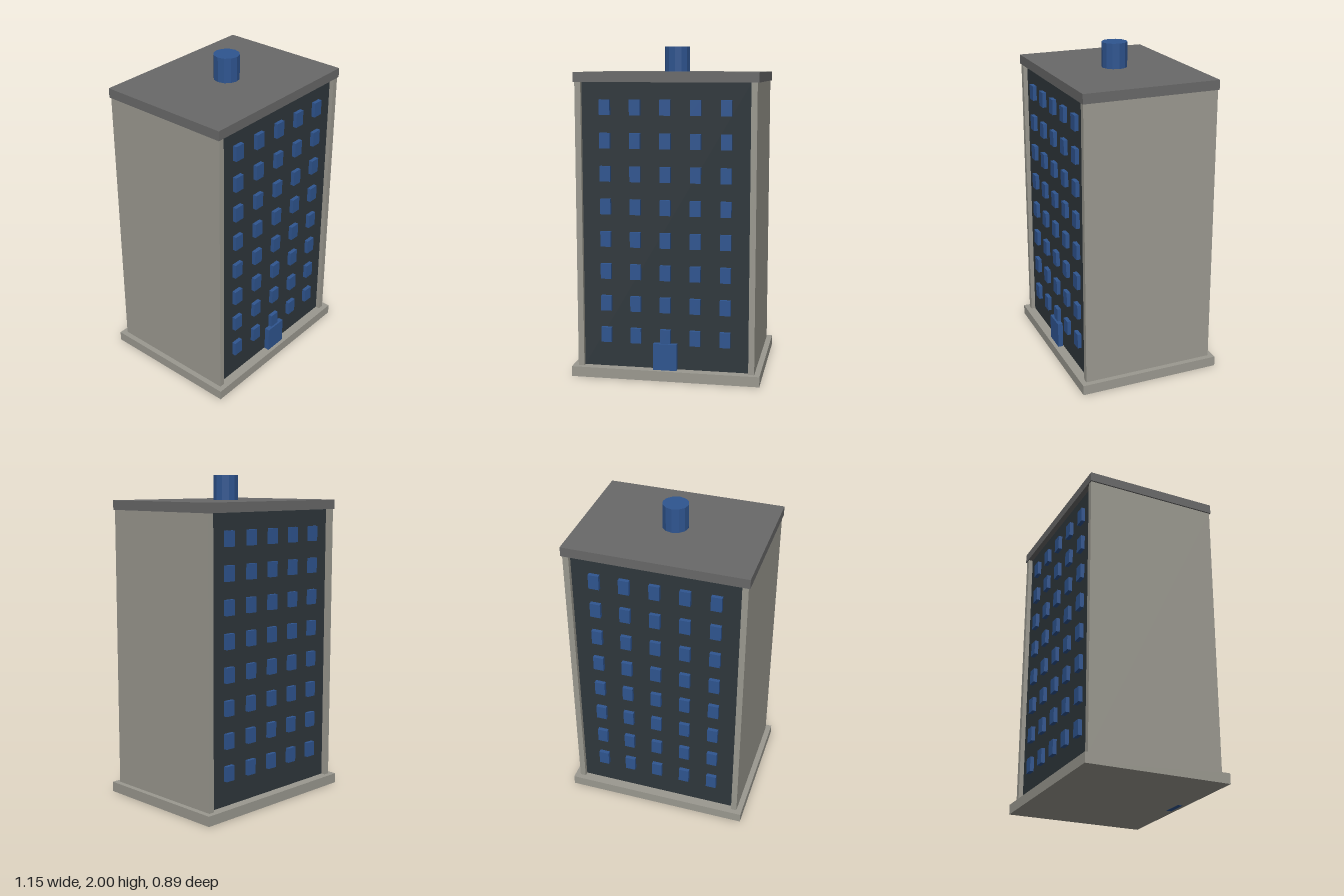
import * as THREE from 'three';

const material = (name, color) => {
  const m = new THREE.MeshStandardMaterial({ color });
  m.name = name;
  return m;
};

export function createModel() {
  const concrete = material('concrete', 0x9b9990);
  const slate = material('dark slate', 0x2f373c);
  const roofGrey = material('roof grey', 0x696969);
  const blue = material('blue', 0x2f5590);

  const model = new THREE.Group();
  model.name = 'apartmentTower';

  // Box given by its min and max corners
  const box = (name, mat, [x0, y0, z0], [x1, y1, z1], parent = model) => {
    const mesh = new THREE.Mesh(new THREE.BoxGeometry(x1 - x0, y1 - y0, z1 - z0), mat);
    mesh.position.set((x0 + x1) / 2, (y0 + y1) / 2, (z0 + z1) / 2);
    mesh.name = name;
    parent.add(mesh);
    return mesh;
  };

  // Plinth, recessed core and roof slab
  box('base', concrete, [-0.575, 0.001, -0.445], [0.575, 0.063, 0.445]);
  box('core', slate, [-0.505, 0.063, -0.386], [0.505, 1.79, 0.386]);
  box('roof', roofGrey, [-0.55, 1.79, -0.418], [0.55, 1.848, 0.418]);

  // Side walls standing slightly proud of the facades
  box('leftWall', concrete, [0.505, 0.063, -0.413], [0.541, 1.79, 0.413]);
  box('rightWall', concrete, [-0.541, 0.063, -0.413], [-0.505, 1.79, 0.413]);

  // Window grids on the front and back
  for (const side of [1, -1]) {
    const grid = new THREE.Group();
    grid.name = side > 0 ? 'frontWindows' : 'backWindows';
    model.add(grid);
    for (let row = 0; row < 8; row++) {
      for (let col = -2; col <= 2; col++) {
        const x = col * 0.1815;
        const y = 0.264 + row * 0.197;
        const z = side * 0.395;
        box('window', blue, [x - 0.032, y - 0.046, z - 0.015], [x + 0.032, y + 0.046, z + 0.015], grid);
      }
    }
  }

  // Entrance door, running down through the plinth
  box('door', blue, [-0.072, 0, 0.39], [0.072, 0.225, 0.422]);

  // Faceted roof tank
  const tankGeometry = new THREE.CylinderGeometry(0.078, 0.078, 0.152, 12).toNonIndexed();
  tankGeometry.computeVertexNormals();
  const tank = new THREE.Mesh(tankGeometry, blue);
  tank.name = 'roofTank';
  tank.position.y = 1.924;
  model.add(tank);

  return model;
}
